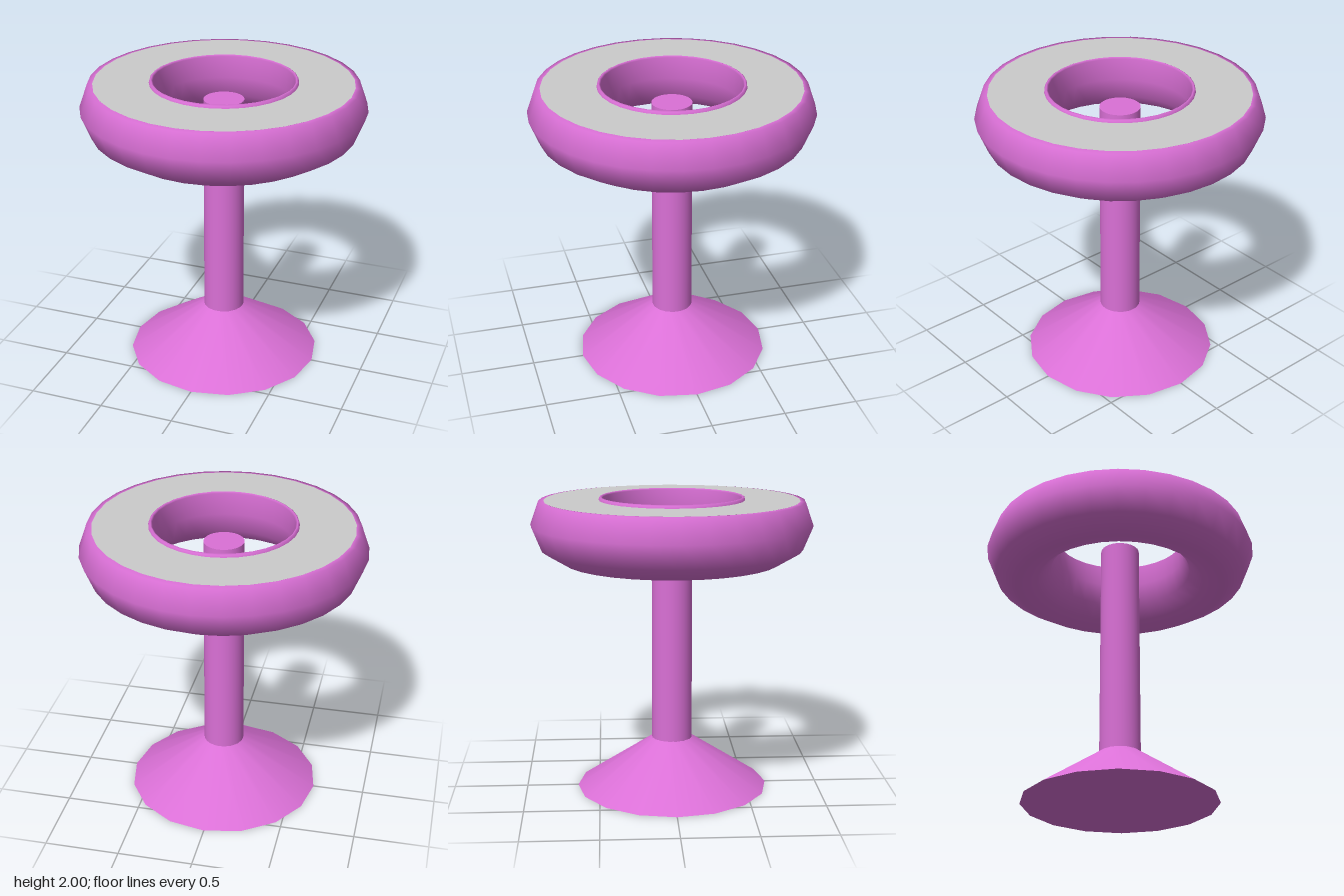
import * as THREE from 'three';
import { toCreasedNormals } from 'three/addons/utils/BufferGeometryUtils.js';

const pink = new THREE.MeshStandardMaterial({ color: 0xda70d6, side: THREE.DoubleSide });
const grey = new THREE.MeshStandardMaterial({ color: 0xcccccc });

// Surface of revolution from [radius, height] pairs
function lathe(profile, segments, crease) {
  const points = profile.map(([r, y]) => new THREE.Vector2(r, y));
  const geometry = new THREE.LatheGeometry(points, segments);
  return crease ? toCreasedNormals(geometry, crease) : geometry;
}

export function createModel() {
  const group = new THREE.Group();
  const add = (name, geometry, material) => {
    const mesh = new THREE.Mesh(geometry, material);
    mesh.name = name;
    group.add(mesh);
    return mesh;
  };

  // Flared foot, flat underneath
  add('foot', lathe([[0, 0], [0.65, 0], [0.135, 0.345]], 16, 0.6), pink);

  // Straight post ending inside the ring
  const post = add('post', new THREE.CylinderGeometry(0.133, 0.137, 1.54, 32), pink);
  post.position.y = 1.09;

  // Rounded ring cushion, from its top edge around the outside to the inner lip
  add('seatRing', lathe([
    [0.485, 1.976], [0.48, 1.995], [0.47, 2], [0.458, 1.99], [0.455, 1.84],
    [0.49, 1.7], [0.58, 1.61], [0.72, 1.57], [0.87, 1.66],
    [0.935, 1.82], [0.88, 1.975], [0.845, 1.978],
  ], 32), pink);

  // Flat ring panel set into the top
  const panel = add('topPanel', new THREE.RingGeometry(0.48, 0.846, 32), grey);
  panel.rotation.x = -Math.PI / 2;
  panel.position.y = 1.979;

  return group;
}
